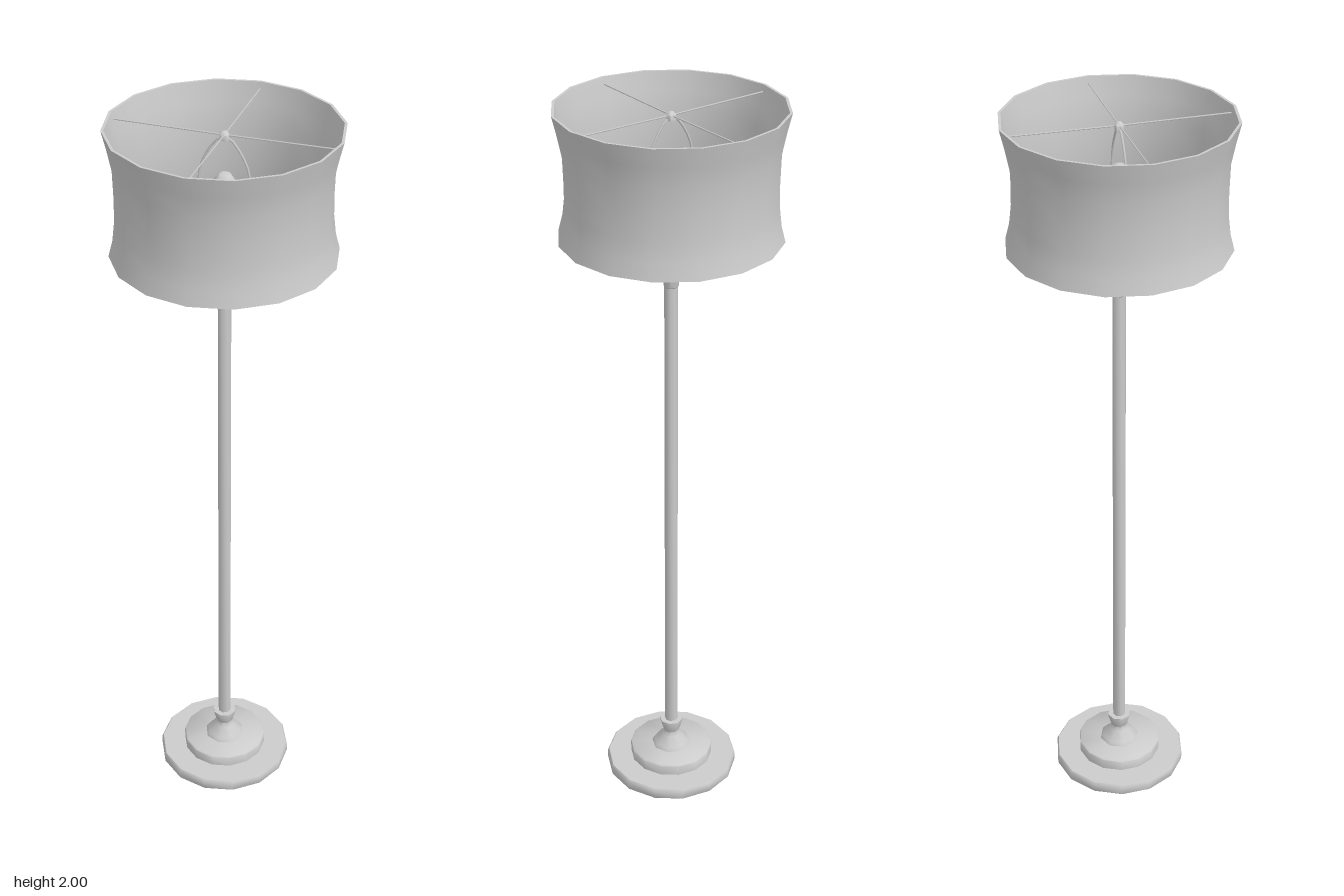
import * as THREE from 'three';
import { toCreasedNormals } from 'three/addons/utils/BufferGeometryUtils.js';

const grey = new THREE.MeshStandardMaterial({ color: 0xcccccc, side: THREE.DoubleSide });

export function createModel() {
  const lamp = new THREE.Group();
  lamp.name = 'floorLamp';

  const add = (name, geometry) => {
    const mesh = new THREE.Mesh(geometry, grey);
    mesh.name = name;
    lamp.add(mesh);
    return mesh;
  };
  // Turned part: [radius, height] pairs from bottom to top
  const turned = (name, sides, profile) => {
    const points = profile.map(([r, y]) => new THREE.Vector2(r, y));
    return add(name, toCreasedNormals(new THREE.LatheGeometry(points, sides), 0.82));
  };
  // Thin wire through a few points
  const wire = (name, points, radius, segments) => {
    const curve = new THREE.CatmullRomCurve3(points.map((p) => new THREE.Vector3(...p)));
    return add(name, new THREE.TubeGeometry(curve, segments, radius, 6));
  };

  // Stepped foot
  turned('basePlate', 14, [[0, 0], [0.181, 0], [0.187, 0.006], [0.187, 0.03], [0.183, 0.036], [0, 0.036]]);
  turned('baseStep', 14, [[0, 0.036], [0.118, 0.036], [0.118, 0.066], [0.115, 0.069], [0, 0.069]]);
  turned('baseCollar', 8, [
    [0.056, 0.069], [0.05, 0.08], [0.027, 0.102], [0.022, 0.115],
    [0.025, 0.122], [0.033, 0.15], [0.033, 0.155], [0, 0.155],
  ]);

  // Pole and the cup at its top
  turned('pole', 8, [[0.018, 0.15], [0.018, 1.54]]);
  turned('poleCup', 8, [
    [0.018, 1.53], [0.02, 1.533], [0.02, 1.55], [0.03, 1.562],
    [0.053, 1.587], [0.057, 1.598], [0.052, 1.602], [0, 1.602],
  ]);

  // Lamp holder with its rim and switch
  turned('socketStem', 8, [[0.018, 1.6], [0.018, 1.65]]);
  turned('socket', 8, [
    [0, 1.65], [0.028, 1.65], [0.033, 1.656], [0.033, 1.666],
    [0.022, 1.672], [0.022, 1.74], [0, 1.74],
  ]);
  wire('switchKnob', [[0, 1.71, 0.015], [0.004, 1.71, 0.068]], 0.003, 1);

  // Bulb
  turned('bulb', 8, [
    [0.014, 1.735], [0.017, 1.76], [0.029, 1.8], [0.033, 1.83],
    [0.027, 1.862], [0.014, 1.88], [0, 1.885],
  ]);

  // Harp arching over the bulb, with a finial on top
  wire('harp', [
    [-0.026, 1.662, 0], [-0.045, 1.7, 0], [-0.066, 1.8, 0], [-0.055, 1.91, 0], [0, 1.977, 0],
    [0.055, 1.91, 0], [0.066, 1.8, 0], [0.045, 1.7, 0], [0.026, 1.662, 0],
  ], 0.003, 28);
  turned('finial', 8, [[0, 1.968], [0.012, 1.968], [0.012, 1.982], [0.006, 1.989], [0, 1.99]]);

  // Four spider wires carrying the shade
  for (let i = 0; i < 4; i++) {
    wire('shadeWire', [[0, 1.98, 0], [0.285, 1.982, 0]], 0.002, 1).rotation.y = i * Math.PI / 2;
  }

  // Waisted shade with a thin wall, open above and below
  turned('shade', 16, [
    [0.286, 1.668], [0.275, 1.71], [0.269, 1.76], [0.268, 1.82], [0.27, 1.895], [0.281, 1.95], [0.293, 2],
    [0.286, 2], [0.275, 1.95], [0.265, 1.895], [0.263, 1.82], [0.264, 1.76], [0.27, 1.71], [0.281, 1.668],
    [0.286, 1.668],
  ]);

  return lamp;
}
